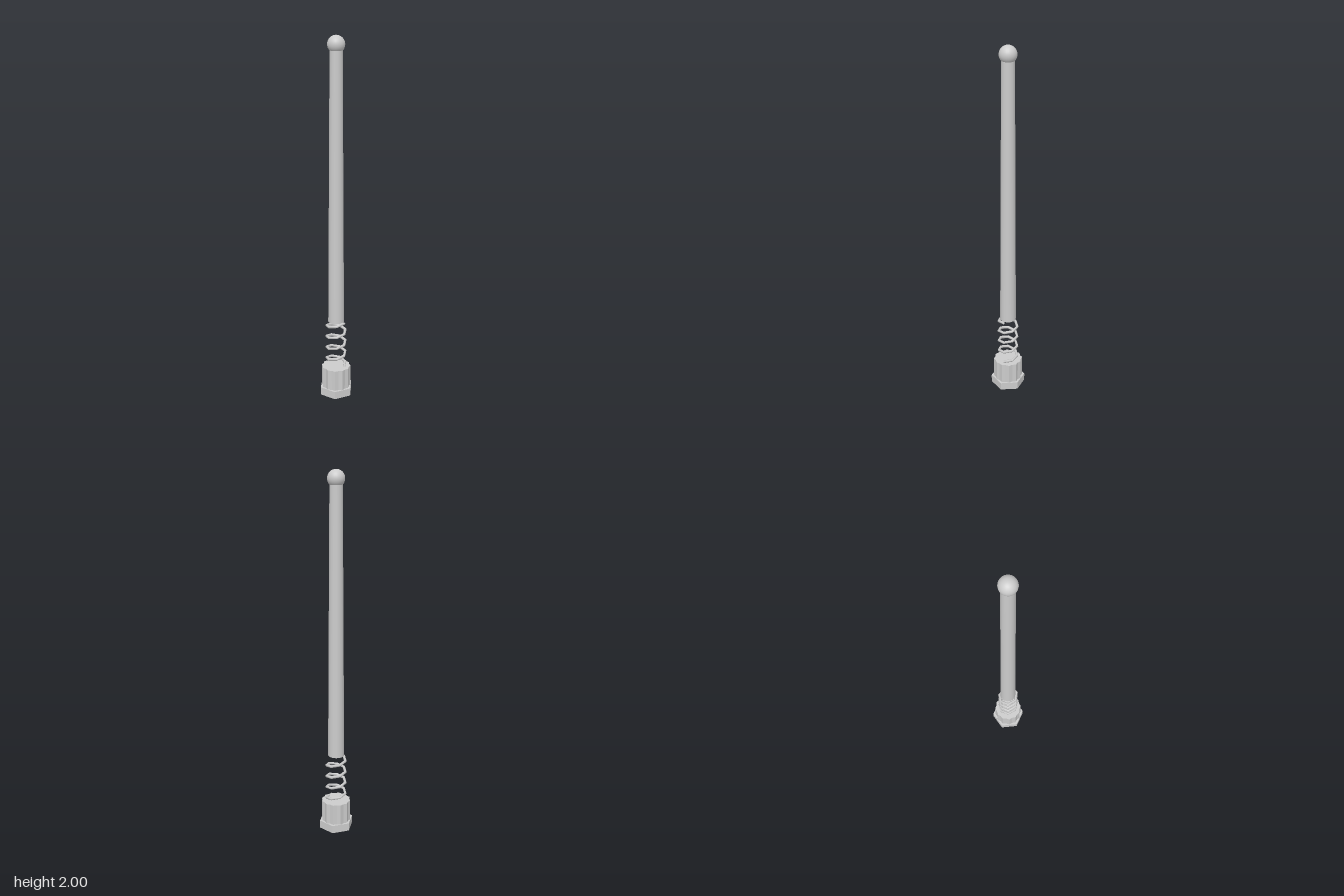
import * as THREE from 'three';

// Helix that starts and ends on +x and climbs by way of -z
class Helix extends THREE.Curve {
  constructor(radius, bottom, top, turns) {
    super();
    Object.assign(this, { radius, bottom, top, turns });
  }
  getPoint(t, target = new THREE.Vector3()) {
    const a = t * this.turns * Math.PI * 2;
    return target.set(
      this.radius * Math.cos(a),
      THREE.MathUtils.lerp(this.bottom, this.top, t),
      -this.radius * Math.sin(a)
    );
  }
}

export function createModel() {
  const group = new THREE.Group();
  const grey = new THREE.MeshStandardMaterial({ color: 0xcccccc });
  const faceted = new THREE.MeshStandardMaterial({ color: 0xcccccc, flatShading: true });
  const wire = new THREE.MeshStandardMaterial({ color: 0xcccccc, side: THREE.DoubleSide });

  const add = (name, geometry, material, y = 0) => {
    const mesh = new THREE.Mesh(geometry, material);
    mesh.name = name;
    mesh.position.y = y;
    group.add(mesh);
    return mesh;
  };

  // Hexagonal nut, corners on the x axis
  const nut = new THREE.CylinderGeometry(0.097, 0.097, 0.045, 6);
  nut.rotateY(Math.PI / 6);
  add('hexNut', nut, faceted, 0.0225);

  // Fluted collar with twelve ridges
  const ridges = 12;
  const outline = [];
  for (let i = 0; i < ridges * 2; i++) {
    const a = (i / (ridges * 2)) * Math.PI * 2;
    const r = i % 2 ? 0.075 : 0.082;
    outline.push(new THREE.Vector2(r * Math.cos(a), r * Math.sin(a)));
  }
  const collar = new THREE.ExtrudeGeometry(new THREE.Shape(outline), { depth: 0.12, bevelEnabled: false });
  collar.rotateX(-Math.PI / 2);
  add('flutedCollar', collar, faceted, 0.045);

  // Coil spring: four turns of seven straight pieces
  const turns = 4;
  add('spring', new THREE.TubeGeometry(new Helix(0.054, 0.171, 0.438, turns), turns * 7, 0.008, 6), wire);

  // Tapered mast and its ball tip
  const bottom = 0.44, top = 1.93;
  add('mast', new THREE.CylinderGeometry(0.034, 0.045, top - bottom, 16), grey, (bottom + top) / 2);
  add('ballTip', new THREE.SphereGeometry(0.046, 24, 16), grey, 1.954);

  // Rotate the nut's corners onto x
  return group;
}
